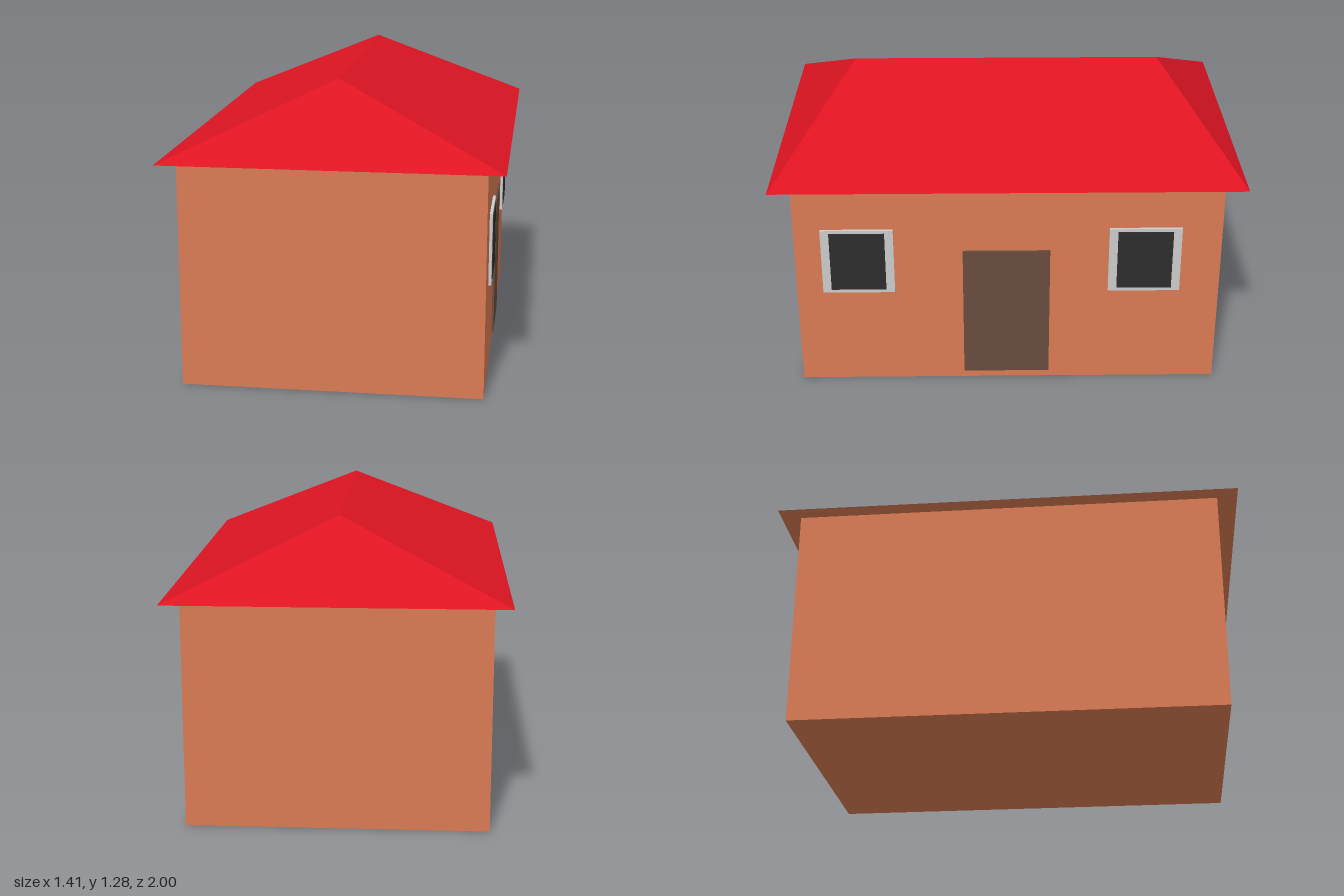
import * as THREE from 'three';

const paint = (color) => new THREE.MeshStandardMaterial({ color, flatShading: true });

export function createModel() {
  const house = new THREE.Group();
  const wall = paint(0xd97b53), red = paint(0xde1422), wood = paint(0x684d3e);
  const grey = paint(0xc0c0c0), glass = paint(0x2d2d2d);

  // Box given by its lower and upper corners
  function block(name, [x0, y0, z0], [x1, y1, z1], material) {
    const mesh = new THREE.Mesh(new THREE.BoxGeometry(x1 - x0, y1 - y0, z1 - z0), material);
    mesh.position.set((x0 + x1) / 2, (y0 + y1) / 2, (z0 + z1) / 2);
    mesh.name = name;
    house.add(mesh);
  }

  // Surface from convex polygons, corners counter-clockwise seen from outside
  function faces(name, polygons, material) {
    const points = [];
    for (const p of polygons) {
      for (let i = 1; i < p.length - 1; i++) points.push(...p[0], ...p[i], ...p[i + 1]);
    }
    const geometry = new THREE.BufferGeometry();
    geometry.setAttribute('position', new THREE.Float32BufferAttribute(points, 3));
    geometry.computeVertexNormals();
    const mesh = new THREE.Mesh(geometry, material);
    mesh.name = name;
    house.add(mesh);
  }

  block('walls', [-0.634, 0, -0.914], [0.632, 0.962, 0.914], wall);

  // Hipped roof with a wall-coloured underside
  const w = 0.706, eave = 0.963;
  const frontLeft = [w, eave, 1], frontRight = [-w, eave, 1];
  const backLeft = [w, eave, -1], backRight = [-w, eave, -1];
  const ridgeFront = [0, 1.278, 0.672], ridgeBack = [0, 1.278, -0.672];
  faces('roof', [
    [frontRight, frontLeft, ridgeFront],
    [backLeft, backRight, ridgeBack],
    [frontLeft, backLeft, ridgeBack, ridgeFront],
    [backRight, frontRight, ridgeFront, ridgeBack],
  ], red);
  faces('roofUnderside', [[frontLeft, frontRight, backRight, backLeft]], wall);

  // Door and two framed windows on the left wall
  block('door', [0.63, 0.035, -0.18], [0.641, 0.648, 0.195], wood);
  for (const z of [0.644, -0.586]) {
    block('windowFrame', [0.636, 0.453, z - 0.155], [0.648, 0.757, z + 0.155], grey);
    block('windowPane', [0.64, 0.469, z - 0.118], [0.651, 0.743, z + 0.118], glass);
  }
  return house;
}
